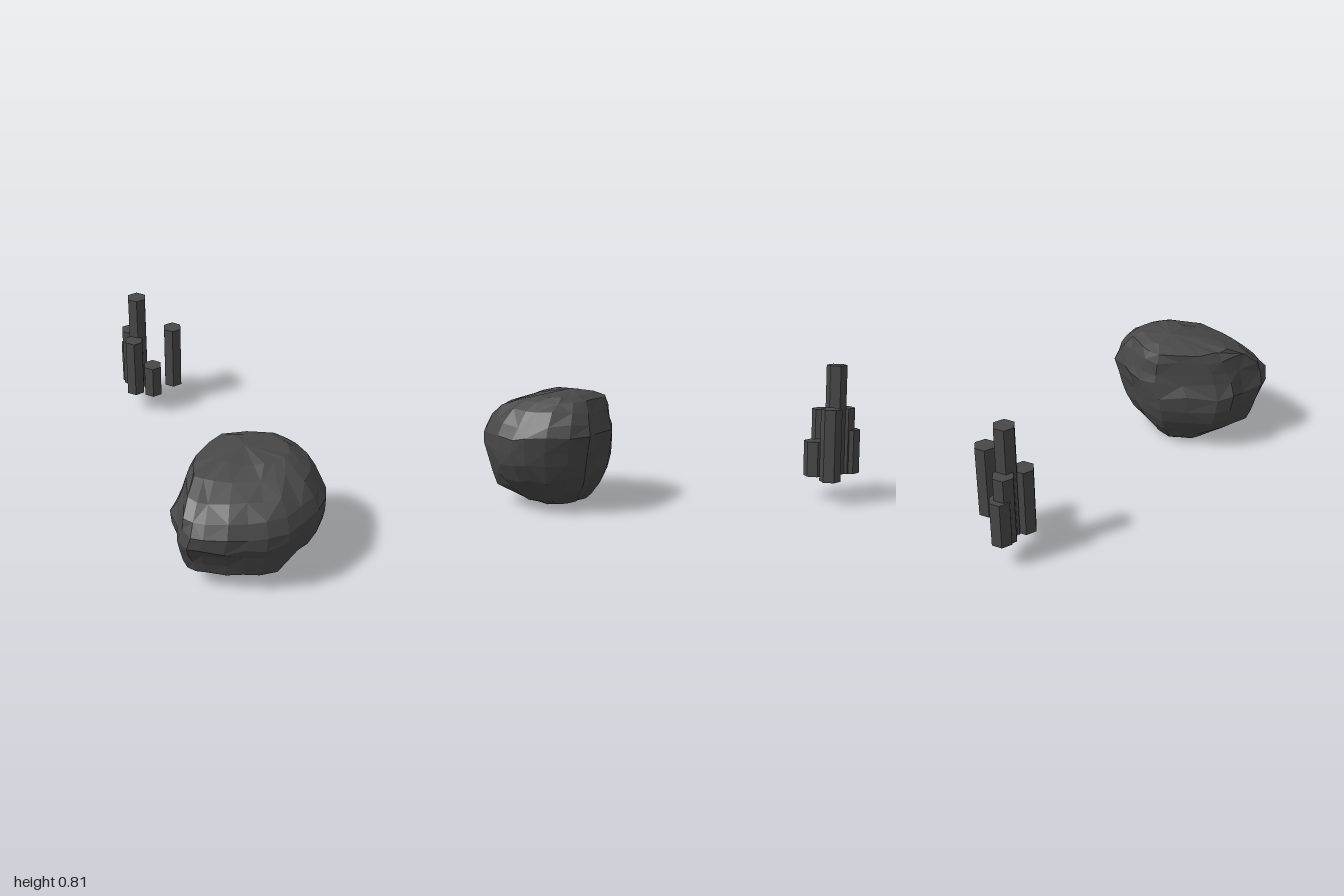
import * as THREE from 'three';

const stone = new THREE.MeshStandardMaterial({ color: 0x484848, flatShading: true, side: THREE.DoubleSide });
stone.name = 'dark stone';

// Plan outline of the boulder [x, z], clockwise seen from above
const outline = [
  [0.525, 0.115], [0.64, 0.18], [0.72, 0.29], [0.77, 0.4], [0.79, 0.48], [0.76, 0.61], [0.70, 0.72],
  [0.635, 0.825], [0.525, 0.9], [0.42, 0.94], [0.31, 0.975], [0.18, 1.0], [0.115, 0.995], [0.05, 0.94],
  [0.015, 0.795], [-0.05, 0.70], [-0.05, 0.59], [0.03, 0.4], [0.1, 0.245], [0.205, 0.18], [0.3, 0.15], [0.43, 0.145],
];

// Boulder levels: y, x from, x to, z from, z to
const levels = [
  [0.015, 0.14, 0.5, 0.34, 0.62],
  [0.05, 0.1, 0.58, 0.30, 0.7],
  [0.12, 0.03, 0.67, 0.23, 0.89],
  [0.2, -0.02, 0.74, 0.19, 0.91],
  [0.29, -0.045, 0.78, 0.165, 0.945],
  [0.37, -0.05, 0.79, 0.145, 1.0],
  [0.45, -0.01, 0.79, 0.12, 1.0],
  [0.52, 0.01, 0.75, 0.14, 0.945],
  [0.59, 0.03, 0.69, 0.17, 0.855],
  [0.64, 0.055, 0.62, 0.21, 0.72],
  [0.67, 0.17, 0.56, 0.27, 0.58],
];

function createBoulder() {
  let seed = 7;
  const jitter = (amount) => {
    seed = (seed * 16807) % 2147483647;
    return (seed / 2147483647 - 0.5) * 2 * amount;
  };
  const { lerp, clamp, smoothstep } = THREE.MathUtils;
  const n = outline.length;
  const positions = [];
  const index = [];

  // Fit the outline to a level, partly scaled and partly cut off, and roughen it
  const fit = (p, min, size, from, to, cut) => {
    const scaled = from + ((p - min) / size) * (to - from);
    const middle = (from + to) / 2;
    const fitted = lerp(scaled, clamp(p, from, to), cut);
    return clamp(middle + (fitted - middle) * (1 + jitter(0.018)), from, to);
  };
  levels.forEach(([y, x0, x1, z0, z1], k) => {
    const rough = k > 1 && k < 9 ? 0.014 : 0.007;
    for (const [px, pz] of outline) {
      // Fuller at the front left, the lower front right and the right flank
      const front = smoothstep(pz, 0.4, 0.85);
      const left = 1 - smoothstep(px, 0.05, 0.45);
      const flank = smoothstep(px, 0.6, 0.78) * (1 - front);
      const cut = 0.05 + front * lerp(y < 0.3 ? 0.28 : 0.05, 0.4, left) + 0.25 * flank;
      positions.push(
        fit(px, -0.05, 0.84, x0, x1, cut),
        y + jitter(rough),
        fit(pz, 0.115, 0.885, z0, z1, cut),
      );
    }
  });
  const bottom = positions.length / 3;
  positions.push(0.2, 0, 0.43, 0.31, 0.69, 0.42);

  // Side facets with alternating diagonals
  for (let k = 0; k < levels.length - 1; k++) {
    for (let i = 0; i < n; i++) {
      const a = k * n + i;
      const b = k * n + ((i + 1) % n);
      const c = a + n;
      const d = b + n;
      if ((i + k) % 2) index.push(a, c, d, a, d, b);
      else index.push(a, c, b, b, c, d);
    }
  }
  // Underside and crown
  const last = (levels.length - 1) * n;
  for (let i = 0; i < n; i++) {
    const j = (i + 1) % n;
    index.push(i, j, bottom);
    index.push(last + j, last + i, bottom + 1);
  }

  const geometry = new THREE.BufferGeometry();
  geometry.setAttribute('position', new THREE.Float32BufferAttribute(positions, 3));
  geometry.setIndex(index);
  geometry.computeVertexNormals();
  const boulder = new THREE.Mesh(geometry, stone);
  boulder.name = 'boulder';
  return boulder;
}

// Six-sided column with a closed top and an open foot
function columnGeometry(height) {
  const geometry = new THREE.CylinderGeometry(0.063, 0.063, height, 6);
  geometry.setIndex(Array.from(geometry.index.array).slice(0, 54));
  geometry.clearGroups();
  return geometry;
}

function createColumns() {
  const group = new THREE.Group();
  group.name = 'basaltColumns';
  const base = 0.141;
  // Centre x, centre z, top height
  const columns = [
    [-0.731, -0.935, 0.412],
    [-0.713, -0.905, 0.547],
    [-0.653, -0.872, 0.813],
    [-0.656, -0.782, 0.538],
    [-0.535, -0.787, 0.357],
    [-0.432, -0.938, 0.577],
  ];
  columns.forEach(([x, z, top], i) => {
    const column = new THREE.Mesh(columnGeometry(top - base), stone);
    column.position.set(x, (top + base) / 2, z);
    column.rotation.y = Math.PI / 12;
    column.name = `column${i + 1}`;
    group.add(column);
  });
  return group;
}

export function createModel() {
  const model = new THREE.Group();
  model.name = 'rockSet';
  model.add(createBoulder(), createColumns());
  return model;
}
